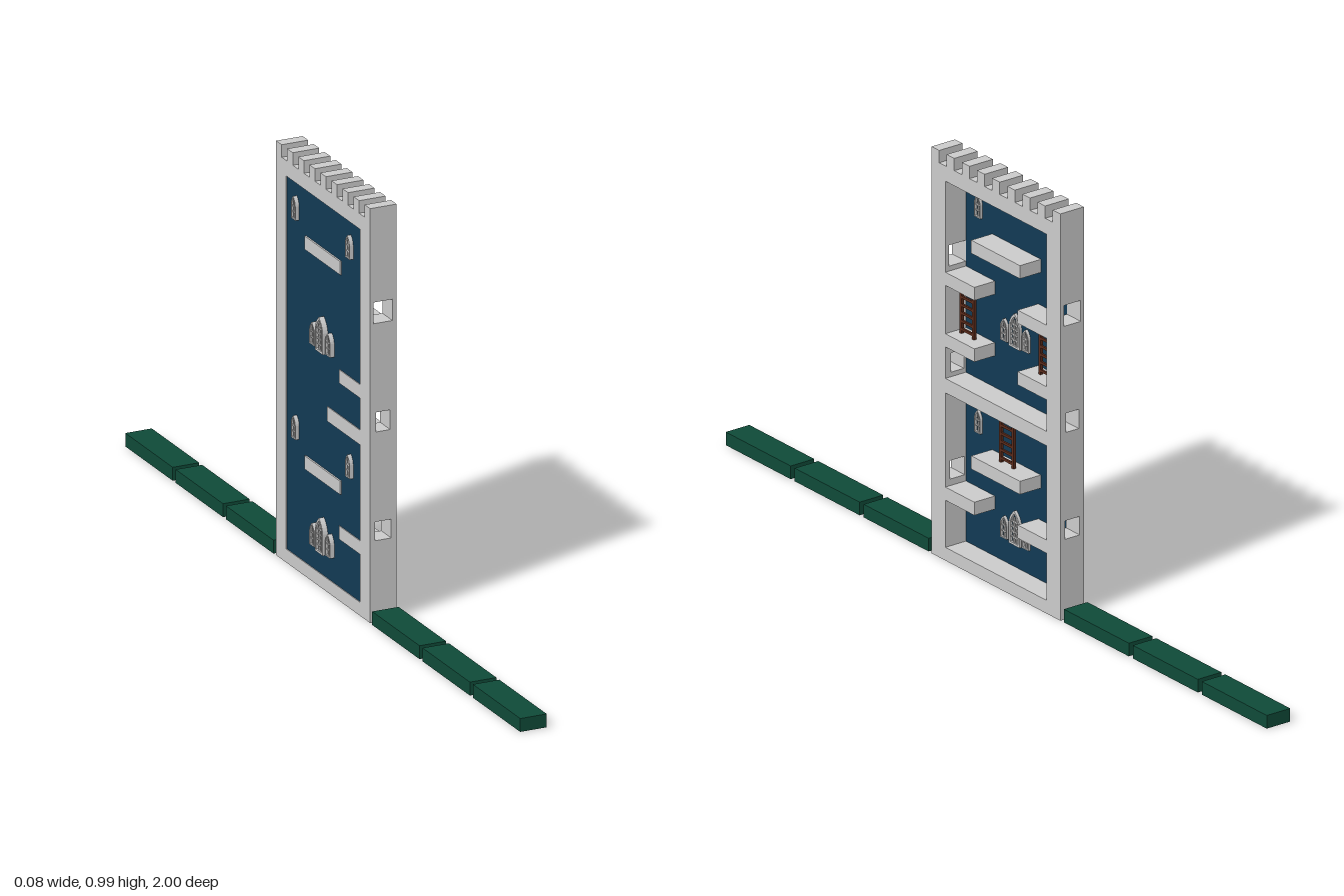
import * as THREE from 'three';

const mat = (color) => new THREE.MeshStandardMaterial({ color, flatShading: true });
const stone = mat(0xcccccc);
const blue = mat(0x123a54);
const green = mat(0x0f4a38);
const wood = mat(0x5a2a1a);

const BACK = -0.029, FRONT = 0.037;   // wall depth along x
const INNER = 0.187, OUTER = 0.238;   // wall positions along z

// Box given by its min and max on every axis
function box(parent, name, material, x0, x1, y0, y1, z0, z1) {
  const mesh = new THREE.Mesh(new THREE.BoxGeometry(x1 - x0, y1 - y0, z1 - z0), material);
  mesh.position.set((x0 + x1) / 2, (y0 + y1) / 2, (z0 + z1) / 2);
  mesh.name = name;
  parent.add(mesh);
  return mesh;
}

// Extrudes a (z, y) outline between two x positions
function sideExtrude(parent, name, shape, x0, x1) {
  const geo = new THREE.ExtrudeGeometry(shape, { depth: x1 - x0, bevelEnabled: false, curveSegments: 5 });
  geo.rotateY(-Math.PI / 2).translate(x1, 0, 0);
  const mesh = new THREE.Mesh(geo, stone);
  mesh.name = name;
  parent.add(mesh);
}

// Pointed arch outline of half width w and height h, standing on y0
function arch(path, w, y0, h) {
  const spring = y0 + h * 0.6;
  path.moveTo(-w, y0);
  path.lineTo(w, y0);
  path.lineTo(w, spring);
  path.quadraticCurveTo(w * 0.9, y0 + h * 0.82, 0, y0 + h);
  path.quadraticCurveTo(-w * 0.9, y0 + h * 0.82, -w, spring);
  return path;
}

// Arched window with glazing bars, showing on both sides of the back panel
function archWindow(parent, z, y, w, h, cols, rows, back) {
  const g = new THREE.Group();
  g.name = 'archWindow';
  const t = w * 0.25;
  const shape = arch(new THREE.Shape(), w, 0, h);
  shape.holes.push(arch(new THREE.Path(), w - t, t, h - 2.4 * t));
  sideExtrude(g, 'windowFrame', shape, back, -0.014);
  const b = 0.0014;
  for (let i = 1; i < cols; i++) {
    const u = (w - t) * (2 * i / cols - 1);
    box(g, 'windowMullion', stone, back + 0.002, -0.016, t / 2, h * 0.78, u - b, u + b);
  }
  for (let i = 1; i < rows; i++) {
    const v = t + (h * 0.75) * i / rows;
    box(g, 'windowBar', stone, back + 0.002, -0.016, v - b, v + b, -w + t / 2, w - t / 2);
  }
  g.position.set(0, y, z);
  parent.add(g);
}

function ladder(parent, z, y0, y1) {
  const g = new THREE.Group();
  g.name = 'ladder';
  for (const s of [-1, 1]) {
    box(g, 'ladderRail', wood, 0.001, 0.008, y0, y1, s * 0.0235 - 0.0035, s * 0.0235 + 0.0035);
  }
  for (let i = 0; i < 6; i++) {
    const y = y0 + (y1 - y0) * (i + 0.5) / 6;
    box(g, 'ladderRung', wood, 0.002, 0.007, y - 0.003, y + 0.003, -0.022, 0.022);
  }
  g.position.z = z;
  parent.add(g);
}

export function createModel() {
  const model = new THREE.Group();
  const tower = new THREE.Group();
  tower.name = 'tower';
  model.add(tower);

  // End walls with square openings: half width, bottom, top
  const openings = [[0.0205, 0.195, 0.24], [0.018, 0.455, 0.502], [0.0235, 0.715, 0.766]];
  for (const z of [-OUTER, INNER]) {
    const wall = new THREE.Shape();
    wall.moveTo(BACK, 0).lineTo(FRONT, 0).lineTo(FRONT, 0.925).lineTo(BACK, 0.925);
    for (const [w, y0, y1] of openings) {
      const c = 0.003;
      wall.holes.push(new THREE.Path().moveTo(c - w, y0).lineTo(c - w, y1).lineTo(c + w, y1).lineTo(c + w, y0));
    }
    const geo = new THREE.ExtrudeGeometry(wall, { depth: OUTER - INNER, bevelEnabled: false });
    const mesh = new THREE.Mesh(geo, stone);
    mesh.name = 'endWall';
    mesh.position.z = z;
    tower.add(mesh);
  }

  // Top beam with battlements
  const top = new THREE.Shape();
  top.moveTo(-OUTER, 0.925).lineTo(OUTER, 0.925);
  const unit = 2 * OUTER / 17;
  for (let i = 0; i < 17; i++) {
    const y = i % 2 ? 0.962 : 0.992;
    top.lineTo(OUTER - i * unit, y).lineTo(OUTER - (i + 1) * unit, y);
  }
  sideExtrude(tower, 'battlements', top, BACK, FRONT);

  // Base sill, back panel and middle floor
  box(tower, 'baseSill', stone, BACK, FRONT, 0, 0.032, -INNER, INNER);
  box(tower, 'backPanel', blue, -0.027, -0.021, 0.032, 0.925, -INNER, INNER);
  box(tower, 'middleFloor', stone, -0.023, FRONT, 0.409, 0.444, -INNER, INNER);
  box(tower, 'middleFloorBack', stone, BACK, -0.023, 0.409, 0.444, 0.02, INNER);

  // Central ledges
  for (const y of [0.257, 0.783]) {
    box(tower, 'centralLedge', stone, -0.031, 0.038, y, y + 0.032, -0.09, 0.09);
  }
  // Side ledges; some pass through the panel on the left
  for (const [y, through] of [[0.147, true], [0.521, true], [0.671, false]]) {
    box(tower, 'sideLedge', stone, through ? BACK : -0.023, FRONT, y, y + 0.032, 0.08, INNER);
    box(tower, 'sideLedge', stone, -0.023, FRONT, y, y + 0.032, -INNER, -0.08);
  }

  // Triple windows and small single windows on both storeys
  for (const y of [0.088, 0.569]) {
    archWindow(tower, 0, y, 0.02, 0.084, 3, 5, -0.04);
    for (const s of [-1, 1]) archWindow(tower, s * 0.04, y + 0.004, 0.0125, 0.054, 2, 3, -0.038);
  }
  for (const y of [0.315, 0.84]) {
    for (const s of [-1, 1]) archWindow(tower, s * 0.137, y, 0.0115, 0.055, 2, 3, -0.0366);
  }

  // Ladders between ledges
  ladder(tower, 0, 0.289, 0.409);
  for (const s of [-1, 1]) ladder(tower, s * 0.146, 0.553, 0.671);

  // Ground strips on either side
  for (const s of [-1, 1]) {
    for (let i = 0; i < 3; i++) {
      const z = s * (0.37 + i * 0.255);
      box(model, 'groundStrip', green, -0.03, 0.036, 0, 0.032, z - 0.12, z + 0.12);
    }
  }
  return model;
}
